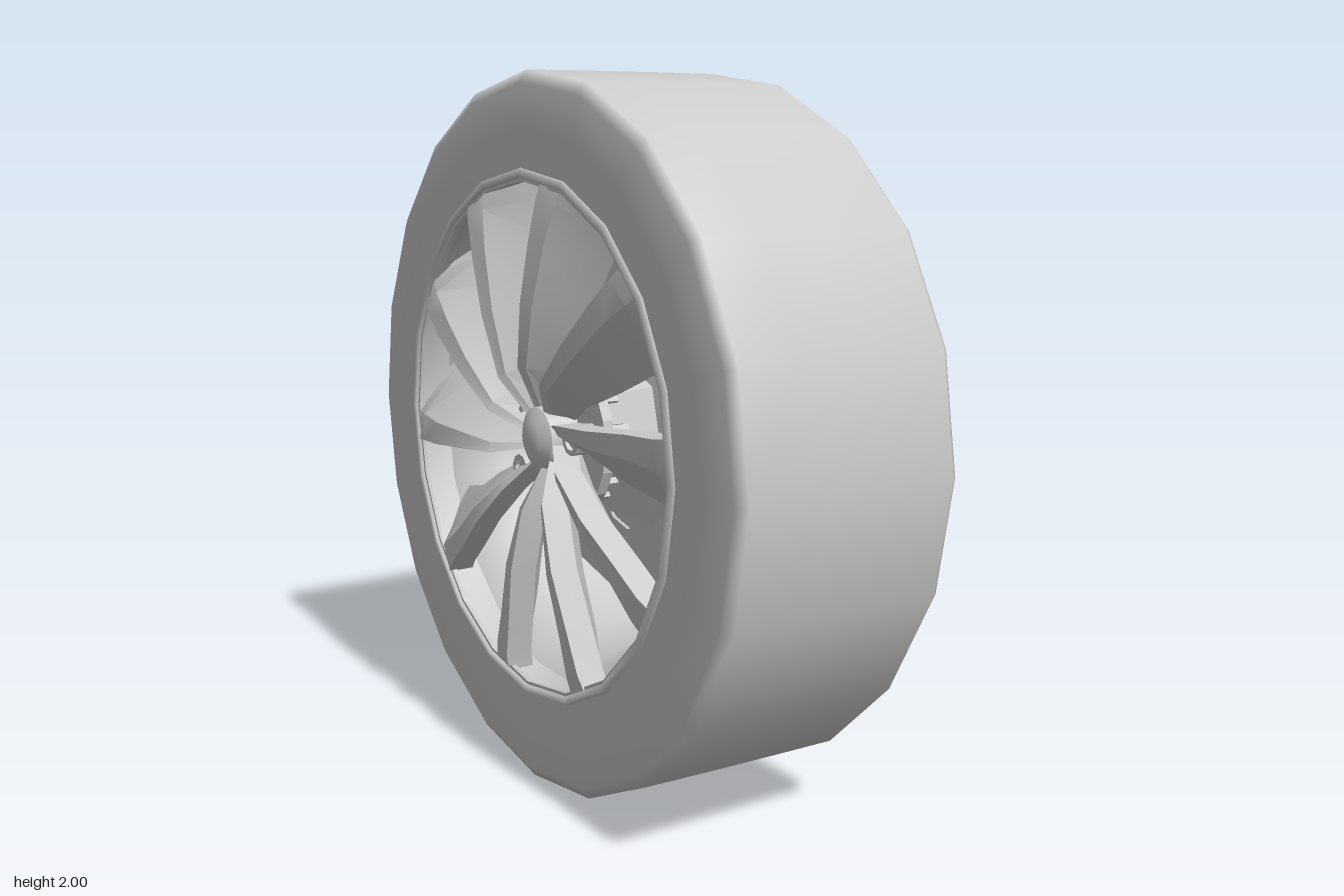
import * as THREE from 'three';
import { toCreasedNormals } from 'three/addons/utils/BufferGeometryUtils.js';

const grey = new THREE.MeshStandardMaterial({ color: 0xcccccc, side: THREE.DoubleSide });

// Ring turned around the wheel axle (x); profile points are [radius, x]
function turned(name, profile, sides, crease, spin = 0) {
  const pts = profile.map(([r, x]) => new THREE.Vector2(r, x));
  let geo = new THREE.LatheGeometry(pts, sides, spin).rotateZ(-Math.PI / 2);
  if (crease !== undefined) geo = toCreasedNormals(geo, crease);
  const mesh = new THREE.Mesh(geo, grey);
  mesh.name = name;
  return mesh;
}

// Twisted fan blade: four-cornered sections from hub to rim.
// Section: [radius, sweep angle, half width, front edge x, rear edge x]
function bladeGeometry() {
  const sections = [
    [0.07, -0.3, 0.02, -0.27, -0.2],
    [0.2, -0.12, 0.045, -0.335, -0.23],
    [0.38, -0.02, 0.075, -0.348, -0.22],
    [0.55, 0.0, 0.1, -0.34, -0.2],
    [0.66, 0.03, 0.125, -0.332, -0.19],
    [0.73, 0.05, 0.15, -0.318, -0.18],
  ];
  const pos = [], index = [];
  for (const [r, sweep, w, front, rear] of sections) {
    const half = Math.asin(Math.min(1, w / r));
    const corners = [
      [front, sweep - half], [front + 0.01, sweep - half * 0.35],
      [rear, sweep + half], [rear + 0.03, sweep + half * 0.4],
      [front + 0.08, sweep - half],
    ];
    for (const [x, a] of corners) pos.push(x, r * Math.cos(a), r * Math.sin(a));
  }
  for (let s = 0; s < sections.length - 1; s++) {
    for (let k = 0; k < 5; k++) {
      const a = s * 5 + k, b = s * 5 + (k + 1) % 5;
      index.push(a, b, a + 5, b, b + 5, a + 5);
    }
  }
  const geo = new THREE.BufferGeometry();
  geo.setAttribute('position', new THREE.Float32BufferAttribute(pos, 3));
  geo.setIndex(index);
  return toCreasedNormals(geo, 0.6);
}

export function createModel() {
  const model = new THREE.Group();
  model.name = 'wheel';
  const wheel = new THREE.Group();
  wheel.name = 'wheelAssembly';
  wheel.position.y = 1;
  model.add(wheel);

  // Tyre with flat sidewalls and softened shoulders
  wheel.add(turned('tyre', [
    [0.7, -0.32], [0.84, -0.32], [0.955, -0.318], [0.988, -0.3], [0.992, -0.15],
    [0.997, 0.1], [1.0, 0.3], [0.985, 0.322], [0.955, 0.334], [0.84, 0.335], [0.72, 0.335],
  ], 20));

  // Rounded inner bead, barrel and thin outer rim edge
  wheel.add(turned('rimLip', [
    [0.74, 0.333], [0.725, 0.342], [0.69, 0.335], [0.665, 0.3], [0.65, 0.26], [0.625, 0.235],
  ], 18));
  wheel.add(turned('rimBarrel', [
    [0.625, 0.235], [0.62, 0.1], [0.625, -0.08], [0.66, -0.17], [0.71, -0.22], [0.715, -0.32],
  ], 18, 0.7));
  wheel.add(turned('rimEdge', [[0.705, -0.3], [0.71, -0.328], [0.73, -0.328], [0.735, -0.318]], 20));

  // Brake disc with a slightly raised centre and a deep opening
  wheel.add(turned('brakeDisc', [
    [0.3, 0.0], [0.5, 0.0], [0.5, 0.08], [0.36, 0.08], [0.355, 0.087], [0.31, 0.087],
  ], 12, 0.3));
  wheel.add(turned('discWell', [
    [0.35, 0.086], [0.31, 0.086], [0.285, 0.0], [0.22, -0.01], [0.2, -0.16],
  ], 7, 0.3, 0.2));

  // Hub plate and central cap
  wheel.add(turned('hubPlate', [
    [0, -0.2], [0.23, -0.2], [0.23, -0.17], [0, -0.17],
  ], 20, 0.3));
  wheel.add(turned('hubCap', [
    [0, -0.305], [0.05, -0.3], [0.085, -0.28], [0.1, -0.2], [0.11, -0.1], [0, -0.13],
  ], 20, 0.5));

  // Ten blades
  const blade = bladeGeometry();
  for (let i = 0; i < 10; i++) {
    const mesh = new THREE.Mesh(blade, grey);
    mesh.name = 'spokeBlade';
    mesh.rotation.x = Math.PI / 10 + (i * Math.PI) / 5;
    wheel.add(mesh);
  }

  // Radial ribs on the back of the hub
  const rib = new THREE.BoxGeometry(0.06, 0.1, 0.018).translate(-0.15, 0.155, 0);
  for (let i = 0; i < 20; i++) {
    const mesh = new THREE.Mesh(rib, grey);
    mesh.name = 'hubRib';
    mesh.rotation.x = (i * Math.PI) / 10;
    wheel.add(mesh);
  }

  // Five wheel nuts, each a sleeve with a smaller hexagonal core
  for (let i = 0; i < 5; i++) {
    const nut = new THREE.Group();
    nut.name = 'wheelNut';
    nut.rotation.x = 0.21 + (i * Math.PI * 2) / 5;
    const sleeve = turned('nutSleeve', [
      [0.025, -0.1], [0.038, -0.1], [0.042, -0.27], [0.028, -0.27], [0.025, -0.1],
    ], 10, 0.5);
    const core = turned('nutCore', [[0, -0.26], [0.026, -0.26], [0.022, -0.11], [0, -0.11]], 6, 0.3);
    sleeve.position.y = core.position.y = 0.165;
    nut.add(sleeve, core);
    wheel.add(nut);
  }
  return model;
}
